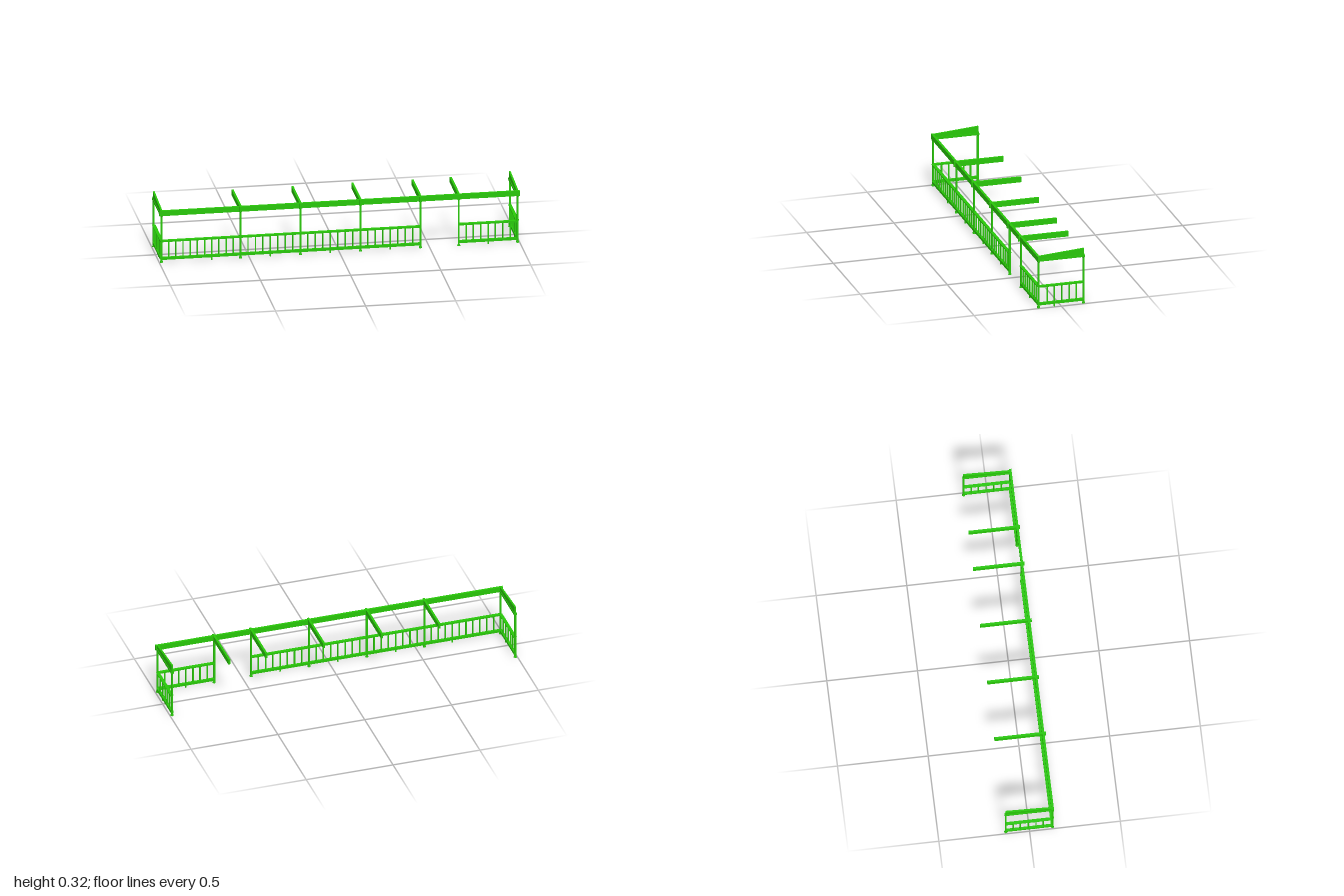
import * as THREE from 'three';

export function createModel() {
  const root = new THREE.Group();
  root.name = 'porchFrame';
  const mat = new THREE.MeshStandardMaterial({ color: 0x28c808, flatShading: true });

  const add = (name, geo, x = 0, y = 0, z = 0) => {
    const m = new THREE.Mesh(geo, mat);
    m.name = name;
    m.position.set(x, y, z);
    root.add(m);
    return m;
  };
  // Box given by its minimum and maximum on each axis
  const block = (name, x0, x1, y0, y1, z0, z1) =>
    add(name, new THREE.BoxGeometry(x1 - x0, y1 - y0, z1 - z0),
      (x0 + x1) / 2, (y0 + y1) / 2, (z0 + z1) / 2);

  const frontZ = 0.127, backZ = -0.13, endX = 0.988;
  const postX = [-endX, -0.549, -0.217, 0.116, 0.449, 0.662, endX];

  // Square post with an eight-sided foot and collar
  const post = (name, x, z, top) => {
    const w = 0.0047;
    block(name, x - w, x + w, 0.006, top, z - w, z + w);
    const foot = new THREE.CylinderGeometry(0.0075, 0.009, 0.009, 8);
    foot.rotateY(Math.PI / 8);
    add(name + 'Foot', foot, x, 0.0045, z);
    const collar = new THREE.CylinderGeometry(0.0085, 0.006, 0.007, 8);
    collar.rotateY(Math.PI / 8);
    add(name + 'Collar', collar, x, 0.2685, z);
  };
  postX.forEach((x) => post('frontPost', x, frontZ, 0.275));
  [-endX, endX].forEach((x) => post('backPost', x, backZ, 0.29));

  // Front railing bays; the bay between posts 4 and 5 is the entrance
  const bw = 0.0035;
  for (let i = 0; i < postX.length - 1; i++) {
    if (i === 4) continue;
    const a = postX[i], b = postX[i + 1], n = i === 0 ? 11 : 8;
    block('frontBottomRail', a, b, 0.016, 0.03, 0.119, 0.133);
    block('frontHandrail', a, b, 0.119, 0.127, 0.121, 0.133);
    block('frontHandrailCap', a, b, 0.126, 0.1295, 0.118, 0.136);
    for (let k = 1; k < n; k++) {
      const x = a + (b - a) * k / n;
      const leg = k === (i === 0 ? 7 : 4);
      block('frontBaluster', x - bw, x + bw, leg ? 0 : 0.028, 0.121, frontZ - bw, frontZ + bw);
    }
  }

  // End railings, roof plates and sloped gable boards
  const gable = new THREE.Shape([
    new THREE.Vector2(-0.124, 0.28), new THREE.Vector2(0.132, 0.28),
    new THREE.Vector2(0.132, 0.322), new THREE.Vector2(-0.124, 0.303),
  ]);
  for (const s of [-1, 1]) {
    const x = s * endX;
    block('sideBottomRail', x - 0.007, x + 0.007, 0.016, 0.03, backZ, frontZ);
    block('sideHandrail', x - 0.006, x + 0.006, 0.119, 0.127, backZ, frontZ);
    block('sideHandrailCap', x - 0.009, x + 0.009, 0.126, 0.1295, backZ, frontZ);
    [0.078, 0.037, -0.006, -0.049, -0.088].forEach((z, k) => {
      block('sideBaluster', x - bw, x + bw, k === 1 ? 0 : 0.028, 0.121, z - bw, z + bw);
    });
    block('sidePlate', x - 0.008, x + 0.008, 0.272, 0.284, -0.136, 0.13);
    const geo = new THREE.ExtrudeGeometry(gable, { depth: 0.01, bevelEnabled: false });
    geo.translate(0, 0, -0.005);
    geo.rotateY(Math.PI / 2);
    add('gableBoard', geo, x);
  }

  // Front beam and the rafters crossing it
  block('frontBeam', -1, 1, 0.272, 0.302, 0.122, 0.135);
  postX.slice(1, -1).forEach((x) =>
    block('rafter', x - 0.006, x + 0.006, 0.2725, 0.303, -0.141, 0.143));

  return root;
}
